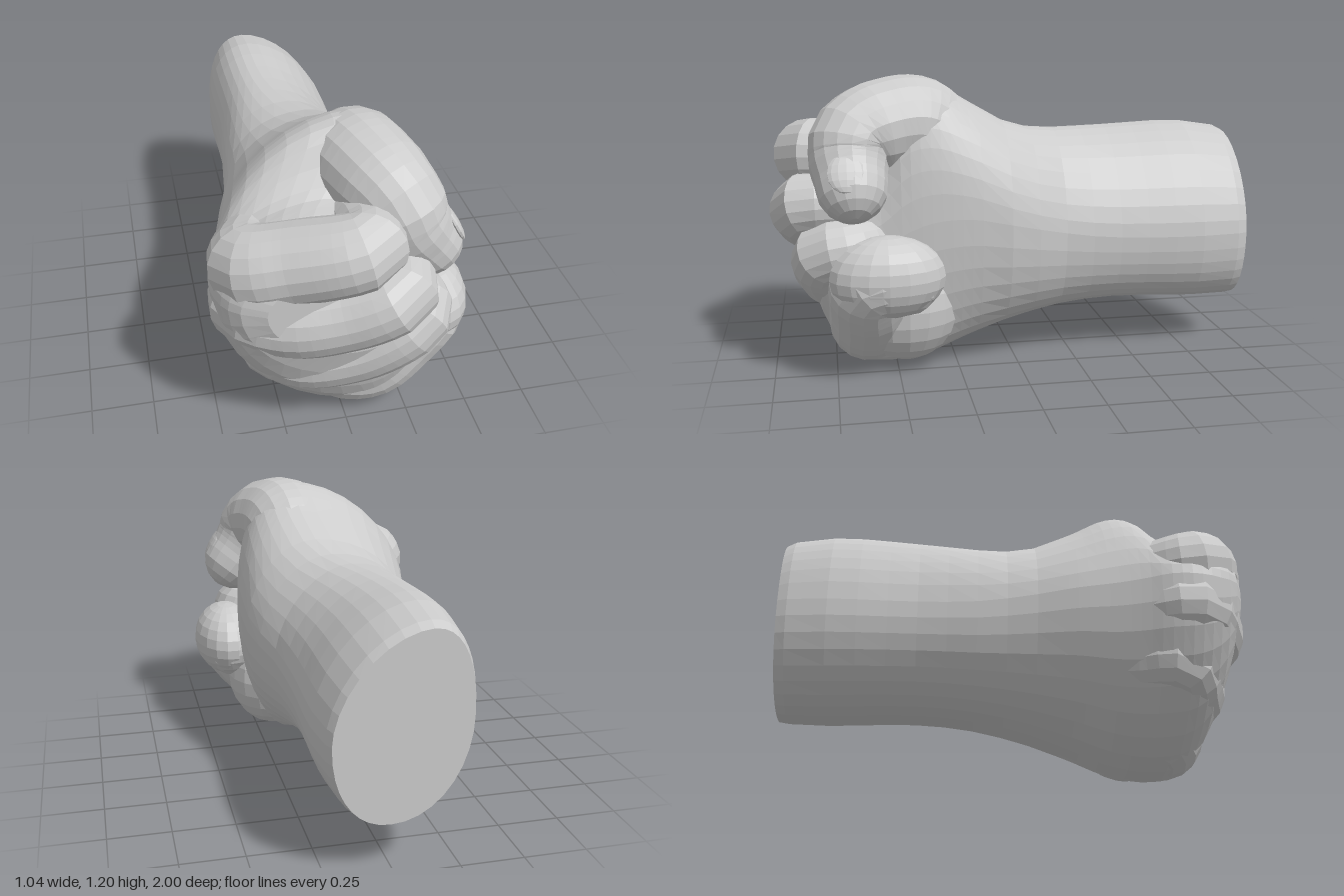
import * as THREE from 'three';

const skin = new THREE.MeshStandardMaterial({ color: 0xcccccc, flatShading: true });
const V = (x, y, z) => new THREE.Vector3(x, y, z);
const { lerp, smoothstep } = THREE.MathUtils;

// Skin a list of equal-length rings and close both ends
function loft(rings, name) {
  const n = rings[0].length, pos = [], idx = [];
  rings.forEach(r => r.forEach(p => pos.push(p.x, p.y, p.z)));
  for (let j = 0; j < rings.length - 1; j++) {
    for (let i = 0; i < n; i++) {
      const a = j * n + i, b = j * n + (i + 1) % n;
      idx.push(a, b, b + n, a, b + n, a + n);
    }
  }
  [0, rings.length - 1].forEach((j, end) => {
    const c = V(0, 0, 0);
    rings[j].forEach(p => c.addScaledVector(p, 1 / n));
    const ci = pos.length / 3;
    pos.push(c.x, c.y, c.z);
    for (let i = 0; i < n; i++) {
      const a = j * n + i, b = j * n + (i + 1) % n;
      if (end) idx.push(a, b, ci); else idx.push(b, a, ci);
    }
  });
  const g = new THREE.BufferGeometry();
  g.setAttribute('position', new THREE.Float32BufferAttribute(pos, 3));
  g.setIndex(idx);
  g.computeVertexNormals();
  const mesh = new THREE.Mesh(g, skin);
  mesh.name = name;
  return mesh;
}

// Round-ended limb through points [x, y, z, radius]
function limb(name, pts, sides = 18, steps = 24) {
  const curve = new THREE.CatmullRomCurve3(pts.map(p => V(p[0], p[1], p[2])), false, 'centripetal');
  const f = curve.computeFrenetFrames(steps, false);
  const rings = [];
  const ring = (k, shift, scale) => {
    const u = k / steps, t = curve.getUtoTmapping(u) * (pts.length - 1);
    const i = Math.min(Math.floor(t), pts.length - 2);
    const r = lerp(pts[i][3], pts[i + 1][3], smoothstep(t - i, 0, 1));
    const c = curve.getPointAt(u).addScaledVector(f.tangents[k], r * shift);
    rings.push(Array.from({ length: sides }, (_, s) => {
      const a = s / sides * Math.PI * 2;
      return c.clone().addScaledVector(f.normals[k], Math.cos(a) * r * scale)
        .addScaledVector(f.binormals[k], Math.sin(a) * r * scale);
    }));
  };
  const caps = [1.45, 1.1, 0.75, 0.38];
  caps.forEach(a => ring(0, -Math.sin(a), Math.cos(a)));
  for (let k = 0; k <= steps; k++) ring(k, 0, 1);
  caps.reverse().forEach(a => ring(steps, Math.sin(a), Math.cos(a)));
  return loft(rings, name);
}

// Forearm and palm: z, then the -x, +x, bottom and top extreme points (x, y)
function armAndPalm() {
  const rows = [
    [-1.0, -.28, .60, .235, .52, .02, .205, -.12, .92],
    [-.96, -.295, .60, .25, .52, .02, .20, -.12, .94],
    [-.4, -.315, .60, .26, .53, .02, .21, -.10, .955],
    [-.2, -.335, .60, .28, .56, .02, .19, -.04, .955],
    [0, -.36, .62, .345, .61, .04, .15, .04, .99],
    [.2, -.41, .64, .355, .65, .08, .09, .08, 1.10],
    [.36, -.445, .65, .345, .64, .10, .03, .09, 1.19],
    [.46, -.47, .66, .33, .60, .10, .008, .08, 1.17],
    [.56, -.50, .67, .31, .54, .10, .004, -.04, .99],
    [.68, -.505, .67, .30, .51, .10, .04, -.12, .955],
    [.78, -.47, .67, .30, .52, .06, .17, -.12, .935],
    [.84, -.42, .68, .27, .60, .00, .33, -.08, .90],
    [.88, -.33, .68, .22, .66, .00, .46, -.04, .85]
  ];
  // Roundness of each quarter, anticlockwise from upper +x, at the arm and at the fist
  const armRound = [1.15, .87, 1, .9], fistRound = [.9, 1.1, 1.05, .95];
  const interp = new THREE.CubicInterpolant(rows.map(r => r[0]), rows.flatMap(r => r.slice(1)), 8);
  const rings = [], sides = 36;
  const zs = [-1, -.96];
  for (let z = -.8; z < .2; z += .12) zs.push(z);
  for (let z = .2; z < .87; z += .04) zs.push(z);
  zs.push(.88);
  for (const z of zs) {
    const [xl, yl, xr, yr, xb, yb, xt, yt] = interp.evaluate(z);
    rings.push(Array.from({ length: sides }, (_, i) => {
      const q = Math.floor(i * 4 / sides), a = i / sides * Math.PI * 2;
      const e = lerp(armRound[q], fistRound[q], smoothstep(z, -.3, .3));
      const pw = v => Math.sign(v) * Math.pow(Math.abs(v), e);
      const c = pw(Math.cos(a)), s = pw(Math.sin(a));
      const cx = s >= 0 ? xt : xb, cy = c >= 0 ? yr : yl;
      return V(cx + (c >= 0 ? xr - cx : cx - xl) * c, cy + (s >= 0 ? yt - cy : cy - yb) * s, z);
    }));
  }
  return loft(rings, 'forearmAndPalm');
}

export function createModel() {
  const fist = new THREE.Group();
  fist.name = 'fist';
  fist.add(armAndPalm());

  // Curled fingers, fanning from the knuckles across the front to the tucked tips
  const fingers = {
    indexFinger: [[-.30, .76, .50, .14], [-.355, .77, .68, .16], [-.2, .815, .755, .155],
      [.04, .885, .825, .145], [.06, .88, .72, .13], [.04, .86, .6, .12]],
    middleFinger: [[-.32, .57, .48, .14], [-.35, .58, .66, .165], [-.22, .56, .745, .155],
      [0, .61, .82, .145], [.17, .695, .86, .13], [.18, .70, .74, .12], [.14, .68, .6, .1]],
    ringFinger: [[-.24, .38, .46, .15], [-.27, .38, .61, .16], [-.16, .33, .66, .16],
      [.05, .375, .73, .15], [.26, .515, .78, .13], [.275, .54, .68, .12], [.2, .55, .55, .1]],
    littleFinger: [[-.06, .22, .46, .16], [0, .19, .59, .165], [.13, .185, .61, .165],
      [.25, .29, .61, .165], [.355, .42, .60, .16], [.345, .43, .47, .155], [.25, .42, .4, .1]],
    thumb: [[.08, .88, .2, .15], [.10, 1.0, .40, .2], [.15, .995, .56, .19],
      [.2, .955, .66, .17], [.235, .88, .675, .16], [.31, .785, .67, .14]]
  };
  for (const [name, pts] of Object.entries(fingers)) fist.add(limb(name, pts));

  // Soft pads: little fingertip and the outer edge of the palm
  const pads = [
    ['littleFingertipPad', .375, .44, .545, .148, .165, .23],
    ['palmHeel', .17, .28, .46, .21, .25, .23]
  ];
  for (const [name, x, y, z, sx, sy, sz] of pads) {
    const pad = new THREE.Mesh(new THREE.SphereGeometry(1, 18, 12), skin);
    pad.position.set(x, y, z);
    pad.scale.set(sx, sy, sz);
    pad.name = name;
    fist.add(pad);
  }

  // Thumbnail on the outer side
  const nail = new THREE.Mesh(new THREE.SphereGeometry(1, 14, 8), skin);
  nail.position.set(.405, .86, .69);
  nail.scale.set(.02, .08, .075);
  nail.rotation.z = .5;
  nail.name = 'thumbnail';
  fist.add(nail);
  return fist;
}
